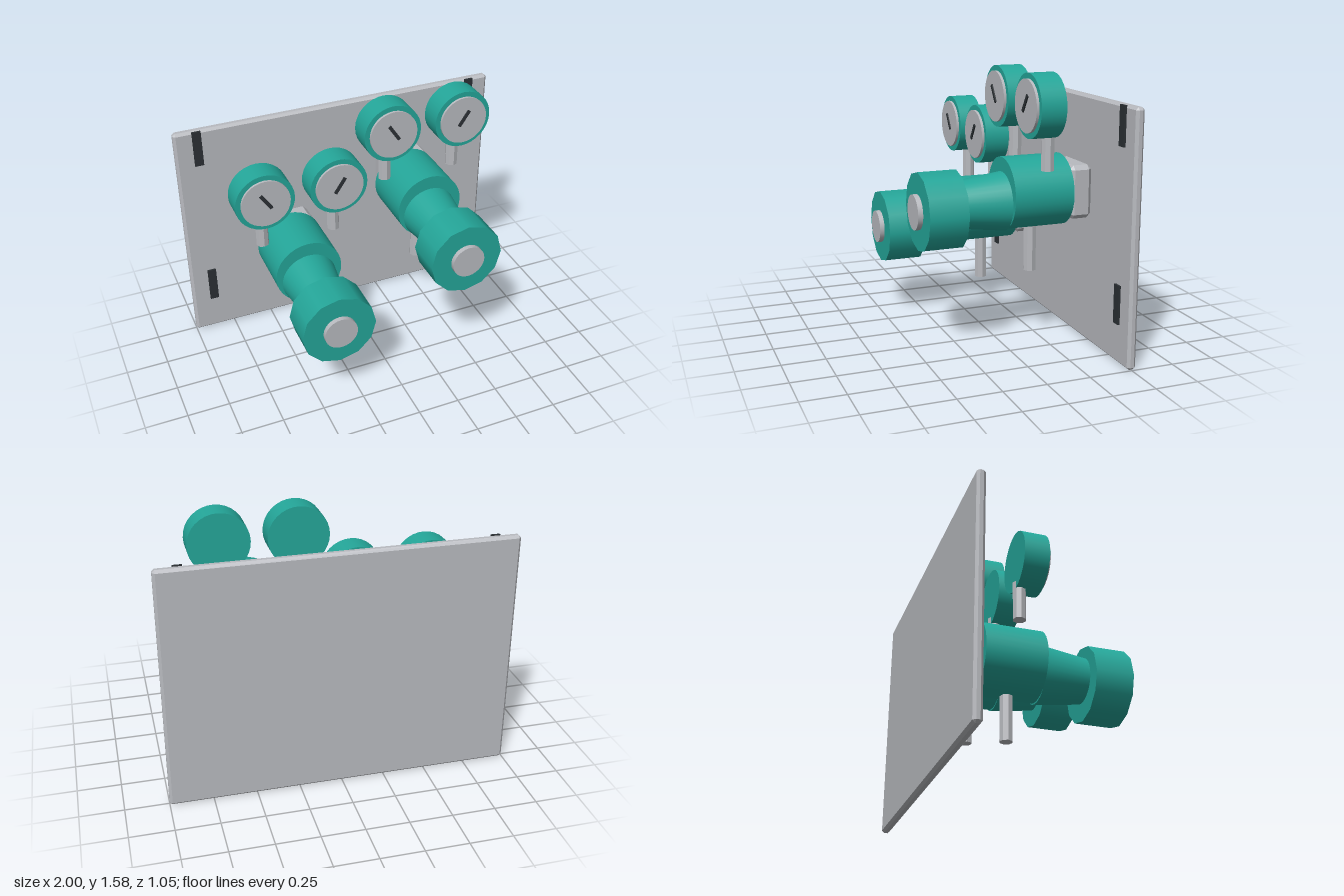
import * as THREE from 'three';
import { ConvexGeometry } from 'three/addons/geometries/ConvexGeometry.js';

const teal = new THREE.MeshStandardMaterial({ color: 0x24a699 });
const grey = new THREE.MeshStandardMaterial({ color: 0xb8babf });
const dark = new THREE.MeshStandardMaterial({ color: 0x2b3034 });
teal.name = 'teal';
grey.name = 'grey';
dark.name = 'dark';

function add(parent, name, geometry, material, x, y, z) {
  const mesh = new THREE.Mesh(geometry, material);
  mesh.name = name;
  mesh.position.set(x, y, z);
  parent.add(mesh);
  return mesh;
}

// Box with every edge chamfered by c
function chamferBox(w, h, d, c) {
  const points = [];
  for (const sx of [-1, 1]) for (const sy of [-1, 1]) for (const sz of [-1, 1]) {
    for (let axis = 0; axis < 3; axis++) {
      const half = [w / 2 - c, h / 2 - c, d / 2 - c];
      half[axis] += c;
      points.push(new THREE.Vector3(sx * half[0], sy * half[1], sz * half[2]));
    }
  }
  return new ConvexGeometry(points);
}

// Cylinder or cone along z, from z0 (back) to z1 (front)
function barrel(parent, name, material, rBack, rFront, x, y, z0, z1, sides = 32) {
  const geometry = new THREE.CylinderGeometry(rFront, rBack, z1 - z0, sides).rotateX(Math.PI / 2);
  return add(parent, name, geometry, material, x, y, (z0 + z1) / 2);
}

// Upright eight-sided pipe with faceted sides
function pipe(parent, name, x, y0, y1) {
  const geometry = new THREE.CylinderGeometry(0.0375, 0.0375, y1 - y0, 8).toNonIndexed();
  geometry.computeVertexNormals();
  add(parent, name, geometry, grey, x, (y0 + y1) / 2, -0.163);
}

// Dial gauge with a tilted needle, on a short pipe
function gauge(parent, name, x, y, tilt) {
  const group = new THREE.Group();
  group.name = name;
  parent.add(group);
  pipe(group, 'gaugePipe', x, y - 0.355, y - 0.13);
  barrel(group, 'gaugeCase', teal, 0.175, 0.175, x, y, -0.19, -0.046);
  barrel(group, 'dialFace', grey, 0.145, 0.145, x, y, -0.05, -0.031);
  const needle = add(group, 'needle', new THREE.BoxGeometry(0.02, 0.11, 0.009), dark, x, y + 0.014, -0.0285);
  needle.rotation.z = tilt;
}

// Pressure regulator; y is the axis of its main body
function regulator(name, x, y) {
  const group = new THREE.Group();
  group.name = name;
  add(group, 'mountingBlock', chamferBox(0.31, 0.305, 0.135, 0.025), grey, x, y, -0.4075);
  barrel(group, 'body', teal, 0.203, 0.203, x, y, -0.34, 0.01);
  barrel(group, 'neck', teal, 0.167, 0.131, x, y - 0.046, 0.01, 0.28);
  barrel(group, 'knob', teal, 0.22, 0.22, x, y - 0.067, 0.28, 0.5, 12);
  barrel(group, 'knobCap', grey, 0.098, 0.098, x, y - 0.067, 0.49, 0.528, 24);
  pipe(group, 'outletPipe', x, y - 0.462, y - 0.17);
  gauge(group, 'rightGauge', x - 0.221, y + 0.511, 0.59);
  gauge(group, 'leftGauge', x + 0.222, y + 0.511, -0.59);
  return group;
}

export function createModel() {
  const model = new THREE.Group();
  model.name = 'regulatorPanel';
  // Back plate
  add(model, 'backPlate', chamferBox(2, 1.424, 0.051, 0.015), grey, 0, 0.712, -0.501);
  // Dark mounting slots near the corners
  for (const x of [-0.867, 0.867]) for (const y of [0.337, 1.313]) {
    add(model, 'mountingSlot', new THREE.BoxGeometry(0.052, 0.22, 0.014), dark, x, y, -0.47);
  }
  // Two regulators, one set higher
  model.add(regulator('rightRegulator', -0.39, 0.624));
  model.add(regulator('leftRegulator', 0.387, 0.893));
  return model;
}
